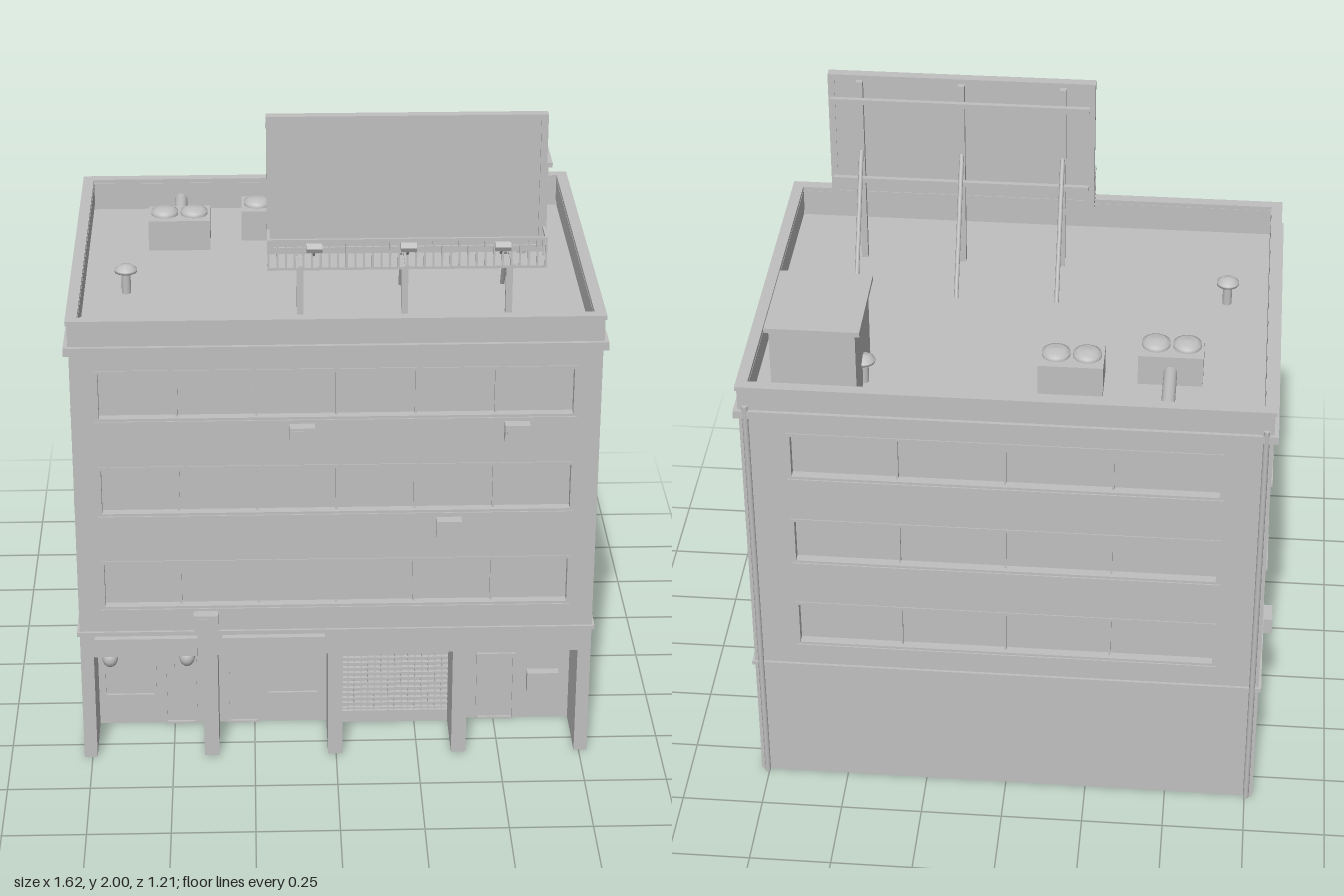
import * as THREE from 'three';

export function createModel() {
  const root = new THREE.Group();
  root.name = 'officeBlock';
  const grey = new THREE.MeshStandardMaterial({ color: 0xbfbfbf });
  grey.name = 'plainGrey';

  const add = (name, geo, parent = root) => {
    const m = new THREE.Mesh(geo, grey);
    m.name = name;
    parent.add(m);
    return m;
  };
  // Box given by its limits on each axis
  const box = (name, x0, x1, y0, y1, z0, z1, parent = root) => {
    const m = add(name, new THREE.BoxGeometry(x1 - x0, y1 - y0, z1 - z0), parent);
    m.position.set((x0 + x1) / 2, (y0 + y1) / 2, (z0 + z1) / 2);
    return m;
  };
  // Round bar between two points
  const rod = (name, a, b, r, sides = 8) => {
    const p = new THREE.Vector3(...a), q = new THREE.Vector3(...b);
    const d = q.clone().sub(p);
    const m = add(name, new THREE.CylinderGeometry(r, r, d.length(), sides));
    m.position.copy(p).add(q).multiplyScalar(0.5);
    m.quaternion.setFromUnitVectors(new THREE.Vector3(0, 1, 0), d.normalize());
    return m;
  };
  // Rectangular band running round the building, t thick
  const ring = (name, x, z0, z1, y0, y1, t) => {
    box(name, -x, x, y0, y1, z1 - t, z1);
    box(name, -x, x, y0, y1, z0, z0 + t);
    for (const s of [-1, 1]) {
      const a = s * x, b = s * (x - t);
      box(name, Math.min(a, b), Math.max(a, b), y0, y1, z0 + t, z1 - t);
    }
  };
  const rectPath = (P, x0, x1, y0, y1) => {
    const p = new P();
    p.moveTo(x0, y0);
    p.lineTo(x1, y0);
    p.lineTo(x1, y1);
    p.lineTo(x0, y1);
    p.closePath();
    return p;
  };

  // Main mass
  const ROOF = 1.365, FRONT = 0.573, BACK = -0.59, W = 0.775, SHOP = 0.375;
  box('groundFloor', -W, W, 0, 0.355, BACK, SHOP);
  box('upperCore', -0.75, 0.75, 0.355, ROOF, BACK + 0.025, FRONT - 0.025);

  // Walls with three rows of recessed ribbon windows
  const windowWall = (name, half, winHalf, panes, x, z, turn) => {
    const g = new THREE.Group();
    g.name = name;
    g.position.set(x, 0, z);
    g.rotation.y = turn;
    root.add(g);
    const wall = rectPath(THREE.Shape, -half, half, 0.355, ROOF);
    for (const y of [0.522, 0.836, 1.147]) {
      const top = y + 0.156;
      wall.holes.push(rectPath(THREE.Path, -winHalf, winHalf, y, top));
      const frame = rectPath(THREE.Shape, -winHalf - 0.004, winHalf + 0.004, y - 0.004, top + 0.004);
      frame.holes.push(rectPath(THREE.Path, -winHalf + 0.006, winHalf - 0.006, y + 0.006, top - 0.006));
      const f = add('windowFrame', new THREE.ExtrudeGeometry(frame, { depth: 0.028, bevelEnabled: false }), g);
      f.position.z = -0.025;
      box('windowSill', -winHalf - 0.006, winHalf + 0.006, y - 0.01, y - 0.002, -0.01, 0.007, g);
      for (let i = 1; i < panes; i++) {
        const mx = -winHalf + (2 * winHalf * i) / panes;
        box('mullion', mx - 0.003, mx + 0.003, y, top, -0.026, -0.012, g);
      }
    }
    const m = add('wallPanel', new THREE.ExtrudeGeometry(wall, { depth: 0.025, bevelEnabled: false }), g);
    m.position.z = -0.025;
  };
  const midZ = (FRONT + BACK) / 2, sideHalf = (FRONT - BACK) / 2 - 0.025;
  windowWall('frontWall', W, 0.7, 6, 0, FRONT, 0);
  windowWall('backWall', W, 0.635, 4, 0, BACK, Math.PI);
  windowWall('leftWall', sideHalf, 0.488, 4, W, midZ, Math.PI / 2);
  windowWall('rightWall', sideHalf, 0.488, 4, -W, midZ, -Math.PI / 2);

  // String course, cornice and parapet
  ring('stringCourse', W + 0.008, BACK - 0.008, FRONT + 0.008, 0.43, 0.443, 0.03);
  ring('cornice', 0.79, -0.603, 0.587, 1.36, 1.385, 0.04);
  ring('parapet', 0.777, -0.592, 0.575, 1.385, 1.453, 0.03);
  ring('parapetCap', 0.782, -0.598, 0.58, 1.453, 1.466, 0.034);

  // Rear drainpipes
  for (const s of [-1, 1]) rod('drainpipe', [s * 0.755, 0, -0.596], [s * 0.755, 1.4, -0.596], 0.009);

  // Piers between the shop bays
  for (const [a, b] of [[-W, -0.735], [-0.405, -0.36], [-0.025, 0.02], [0.355, 0.4], [0.735, W]])
    box('shopPier', a, b, 0, 0.355, SHOP, FRONT);
  for (const x of [-0.57, -0.19, 0.188, 0.568])
    box('shutterRail', x - 0.115, x + 0.115, 0.343, 0.355, 0.52, 0.545);
  box('shopSign', -0.73, -0.42, 0.365, 0.425, FRONT, 0.593);
  box('shopSign', -0.345, -0.035, 0.365, 0.425, FRONT, 0.593);

  // Thin rectangular outline on the shop fronts
  const outline = (name, x0, x1, y0, y1) => {
    const s = rectPath(THREE.Shape, x0, x1, y0, y1);
    s.holes.push(rectPath(THREE.Path, x0 + 0.007, x1 - 0.007, y0 + 0.007, y1 - 0.007));
    add(name, new THREE.ExtrudeGeometry(s, { depth: 0.008, bevelEnabled: false })).position.z = SHOP;
  };
  // First shop: lanterns, fascia, window, door with hanging cloths
  box('fascia', -0.655, -0.49, 0.275, 0.325, SHOP, SHOP + 0.02);
  for (const x of [-0.69, -0.455]) {
    const l = add('lantern', new THREE.SphereGeometry(0.024, 16, 12));
    l.scale.y = 1.2;
    l.position.set(x, 0.308, 0.5);
    rod('lanternCord', [x, 0.33, 0.5], [x, 0.355, 0.5], 0.003);
  }
  outline('shopWindow', -0.72, -0.555, 0.1, 0.255);
  outline('shopDoor', -0.53, -0.43, 0, 0.255);
  for (let i = 0; i < 3; i++)
    box('doorCloth', -0.527 + i * 0.033, -0.497 + i * 0.033, 0.19, 0.25, SHOP + 0.008, SHOP + 0.016);
  // Second shop
  box('fascia', -0.345, -0.04, 0.275, 0.325, SHOP, SHOP + 0.02);
  outline('shopWindow', -0.215, -0.045, 0.1, 0.255);
  outline('shopDoor', -0.335, -0.235, 0, 0.255);
  // Third bay: roller grille
  for (let i = 0; i < 17; i++)
    box('grilleSlat', 0.02, 0.355, 0.045 + i * 0.018, 0.05 + i * 0.018, SHOP, SHOP + 0.012);
  for (let i = 0; i < 15; i++)
    box('grilleBar', 0.04 + i * 0.021, 0.044 + i * 0.021, 0.04, 0.343, SHOP, SHOP + 0.009);
  box('grilleFoot', 0.02, 0.355, 0, 0.04, SHOP, SHOP + 0.014);
  // Fourth bay: entrance door and letter boxes
  outline('entranceDoor', 0.445, 0.565, 0, 0.235);
  box('letterBox', 0.602, 0.7, 0.11, 0.175, SHOP, SHOP + 0.03);

  // Wall air conditioners
  const airUnit = (x, y, z, turn) => {
    const g = new THREE.Group();
    g.name = 'airConditioner';
    g.position.set(x, y, z);
    g.rotation.y = turn;
    root.add(g);
    box('unitCase', -0.037, 0.037, -0.027, 0.027, 0, 0.034, g);
    box('unitGrille', -0.03, 0.006, -0.018, 0.018, 0.034, 0.036, g);
  };
  for (const [x, y] of [[-0.1, 1.103], [0.53, 1.103], [0.335, 0.79], [-0.393, 0.482]]) airUnit(x, y, FRONT, 0);
  airUnit(W, 0.79, -0.205, Math.PI / 2);
  airUnit(-W, 0.482, -0.305, -Math.PI / 2);

  // Stair house
  box('stairHouse', 0.435, 0.685, ROOF, 1.62, -0.53, -0.235);
  box('stairHouseRoof', 0.42, 0.697, 1.62, 1.635, -0.54, -0.225);
  box('stairHouseDoor', 0.5, 0.6, ROOF, 1.56, -0.235, -0.228);

  // Roof cooling units with domed fans
  for (const [x, z] of [[-0.467, -0.268], [-0.177, -0.344]]) {
    box('coolingUnit', x - 0.096, x + 0.096, ROOF, 1.463, z - 0.065, z + 0.065);
    for (const s of [-1, 1]) {
      const pts = [[0.042, 0], [0.042, 0.012], [0.028, 0.019], [0, 0.022]].map(p => new THREE.Vector2(...p));
      add('fanCover', new THREE.LatheGeometry(pts, 20)).position.set(x + s * 0.046, 1.463, z);
    }
  }
  rod('duct', [-0.467, 1.41, -0.33], [-0.467, 1.41, -0.53], 0.02, 16);

  // Mushroom vents
  for (const [x, z] of [[-0.622, 0.13], [0.6, -0.16], [0.433, -0.385]]) {
    rod('ventStem', [x, ROOF, z], [x, 1.435, z], 0.014, 12);
    const pts = [[0, 0], [0.034, 0], [0.034, 0.008], [0.02, 0.019], [0, 0.023]].map(p => new THREE.Vector2(...p));
    add('ventCap', new THREE.LatheGeometry(pts, 18)).position.set(x, 1.435, z);
  }

  // Billboard with raised frame, posts, beams and braces
  const L = -0.197, R = 0.618;
  box('billboardPanel', L + 0.01, R - 0.01, 1.585, 1.99, 0.322, 0.343);
  const rim = rectPath(THREE.Shape, L, R, 1.575, 2);
  rim.holes.push(rectPath(THREE.Path, L + 0.02, R - 0.02, 1.595, 1.982));
  add('billboardFrame', new THREE.ExtrudeGeometry(rim, { depth: 0.03, bevelEnabled: false })).position.z = 0.32;
  for (const y of [1.652, 1.925]) box('backBeam', L + 0.015, R - 0.01, y - 0.008, y + 0.008, 0.287, 0.302);
  for (const x of [-0.1, 0.21, 0.52]) {
    box('post', x - 0.01, x + 0.01, ROOF, 1.985, 0.302, 0.322);
    rod('brace', [x, 1.75, 0.305], [x, ROOF, 0.09], 0.007);
    box('walkwayBracket', x - 0.006, x + 0.006, 1.557, 1.57, 0.31, 0.435);
  }

  // Walkway and railing
  box('walkway', L, R, 1.558, 1.566, 0.345, 0.435);
  box('handrail', L, R, 1.645, 1.654, 0.428, 0.436);
  for (let i = 0; i <= 32; i++) {
    const x = L + 0.004 + ((R - L - 0.008) * i) / 32;
    box('baluster', x - 0.003, x + 0.003, 1.566, 1.645, 0.429, 0.435);
  }
  for (const x of [L + 0.004, R - 0.004]) {
    box('endRail', x - 0.004, x + 0.004, 1.645, 1.654, 0.352, 0.428);
    box('endPost', x - 0.003, x + 0.003, 1.566, 1.645, 0.356, 0.362);
  }

  // Floodlights on arms
  for (const x of [-0.062, 0.21, 0.482]) {
    rod('lampArm', [x, 1.605, 0.432], [x, 1.655, 0.5], 0.004);
    const lamp = box('floodlight', x - 0.023, x + 0.023, 1.646, 1.662, 0.49, 0.512);
    lamp.rotation.x = 0.5;
  }
  return root;
}
